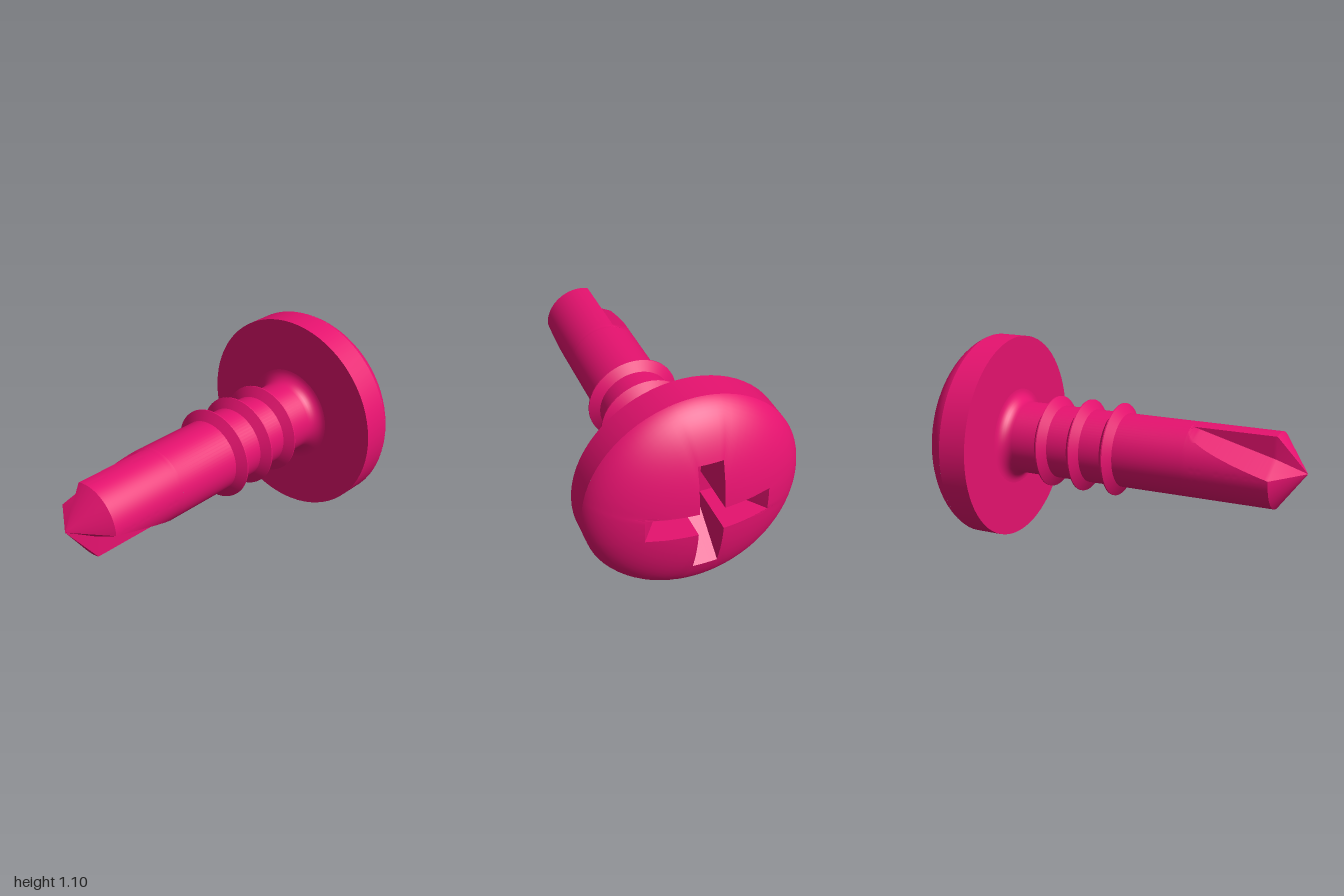
import * as THREE from 'three';
import { toCreasedNormals } from 'three/addons/utils/BufferGeometryUtils.js';

const SHAFT = 0.195, HEAD = 0.55;
const material = new THREE.MeshStandardMaterial({ color: 0xe6126f });

function addPart(group, name, geometry) {
  const mesh = new THREE.Mesh(toCreasedNormals(geometry, 0.42), material);
  mesh.name = name;
  group.add(mesh);
}

// Skin closed rings of points; rings run along +x, points from +z towards -y
function skin(rings) {
  const n = rings[0].length, index = [];
  for (let i = 0; i < rings.length - 1; i++) {
    for (let j = 0; j < n; j++) {
      const k = (j + 1) % n;
      const a = i * n + j, b = i * n + k, c = a + n, d = b + n;
      index.push(a, b, c, b, d, c);
    }
  }
  const g = new THREE.BufferGeometry().setFromPoints(rings.flat());
  g.setIndex(index);
  return g;
}

// Lathe about the x axis from [x, radius] pairs
function turned(profile) {
  const pts = profile.map(([x, r]) => new THREE.Vector2(r, x));
  return new THREE.LatheGeometry(pts, 72).rotateZ(-Math.PI / 2);
}

// Shaft section with two opposite flutes, each cut by a wall and a sloping plane
const TIP_X = -0.855, FLUTE_END = -0.407, WEB = 0.055;
function flutedSection(x, size = 1, atX = x) {
  const D = 0.0975 + 0.27 * (x - TIP_X);
  const normal = Math.atan2(1, 0.5);
  const spread = Math.acos(Math.min(1, D / (Math.hypot(1, 0.5) * SHAFT)));
  const start = normal - spread;
  const end = Math.min(Math.acos(WEB / SHAFT), normal + spread);
  const cz = SHAFT * Math.cos(end), cu = D - 0.5 * cz;
  const ring = [], M = 30;
  for (const side of [1, -1]) {
    const put = (z, u) => ring.push(new THREE.Vector3(atX, -u * side * size, z * side * size));
    for (let j = 0; j <= M; j++) {
      const t = end + (start + Math.PI - end) * j / M;
      put(SHAFT * Math.cos(t), SHAFT * Math.sin(t));
    }
    put(-cz, -cu);
  }
  return ring;
}

function drillPoint() {
  const rings = [flutedSection(TIP_X, 0, -1)];
  const N = 24;
  for (let i = 0; i <= N; i++) rings.push(flutedSection(TIP_X + (FLUTE_END - TIP_X) * i / N));
  return skin(rings);
}

// Domed head with a tapered cross recess
const ARM = 0.31, HALF = 0.063, FLOOR_ARM = 0.14, FLOOR_X = 0.73;
const domeX = r => 0.7236 + 0.28 * Math.sqrt(1 - (r / 0.56) ** 2);

function crossRadius(t) {
  const c = Math.abs(Math.cos(t)) + 1e-9, s = Math.abs(Math.sin(t)) + 1e-9;
  return Math.max(Math.min(ARM / c, HALF / s), Math.min(HALF / c, ARM / s));
}

function domeWithRecess() {
  // Angles hit every corner of the cross exactly
  const corner = Math.atan2(HALF, ARM), angles = [];
  const breaks = [-corner, corner, Math.PI / 4, Math.PI / 2 - corner];
  for (let q = 0; q < 4; q++) {
    for (let b = 0; b < 3; b++) {
      for (let k = 0; k < 7; k++) {
        angles.push(q * Math.PI / 2 + breaks[b] + (breaks[b + 1] - breaks[b]) * k / 7);
      }
    }
  }
  const point = (x, r, t) => new THREE.Vector3(x, -r * Math.sin(t), r * Math.cos(t));
  const rings = [], N = 16;
  for (let i = 0; i <= N; i++) {
    const f = Math.cos(i / N * Math.PI / 2);
    rings.push(angles.map(t => {
      const inner = crossRadius(t), r = inner + (HEAD - inner) * f;
      return point(domeX(r), r, t);
    }));
  }
  // Recess floor: arms shortened, widths kept
  const shorten = v => {
    const m = Math.abs(v);
    return m <= HALF ? v
      : Math.sign(v) * (HALF + (m - HALF) * (FLOOR_ARM - HALF) / (ARM - HALF));
  };
  rings.push(angles.map(t => {
    const p = point(FLOOR_X, crossRadius(t), t);
    return p.set(FLOOR_X, shorten(p.y), shorten(p.z));
  }));
  rings.push(angles.map(() => new THREE.Vector3(FLOOR_X, 0, 0)));
  return skin(rings);
}

export function createModel() {
  const group = new THREE.Group();
  group.name = 'selfDrillingScrew';
  const body = new THREE.Group();
  body.name = 'screwBody';
  body.position.y = HEAD;
  group.add(body);

  addPart(body, 'drillPoint', drillPoint());

  // Plain shank with the flare under the head
  const shank = [[FLUTE_END, SHAFT], [0.56, SHAFT]];
  for (let i = 1; i <= 8; i++) {
    const a = i / 8 * Math.PI / 2;
    shank.push([0.56 + 0.066 * Math.sin(a), SHAFT + 0.066 * (1 - Math.cos(a))]);
  }
  addPart(body, 'shank', turned(shank));

  // Thread ridges
  for (const x of [0.008, 0.198, 0.386]) {
    addPart(body, 'threadRidge', turned([
      [x - 0.038, SHAFT - 0.003], [x - 0.003, 0.245], [x + 0.003, 0.245], [x + 0.038, SHAFT - 0.003],
    ]));
  }

  // Head underside and rim, then the dome
  addPart(body, 'headRim', turned([[0.626, 0.18], [0.626, HEAD], [domeX(HEAD), HEAD]]));
  addPart(body, 'headDome', domeWithRecess());
  return group;
}
